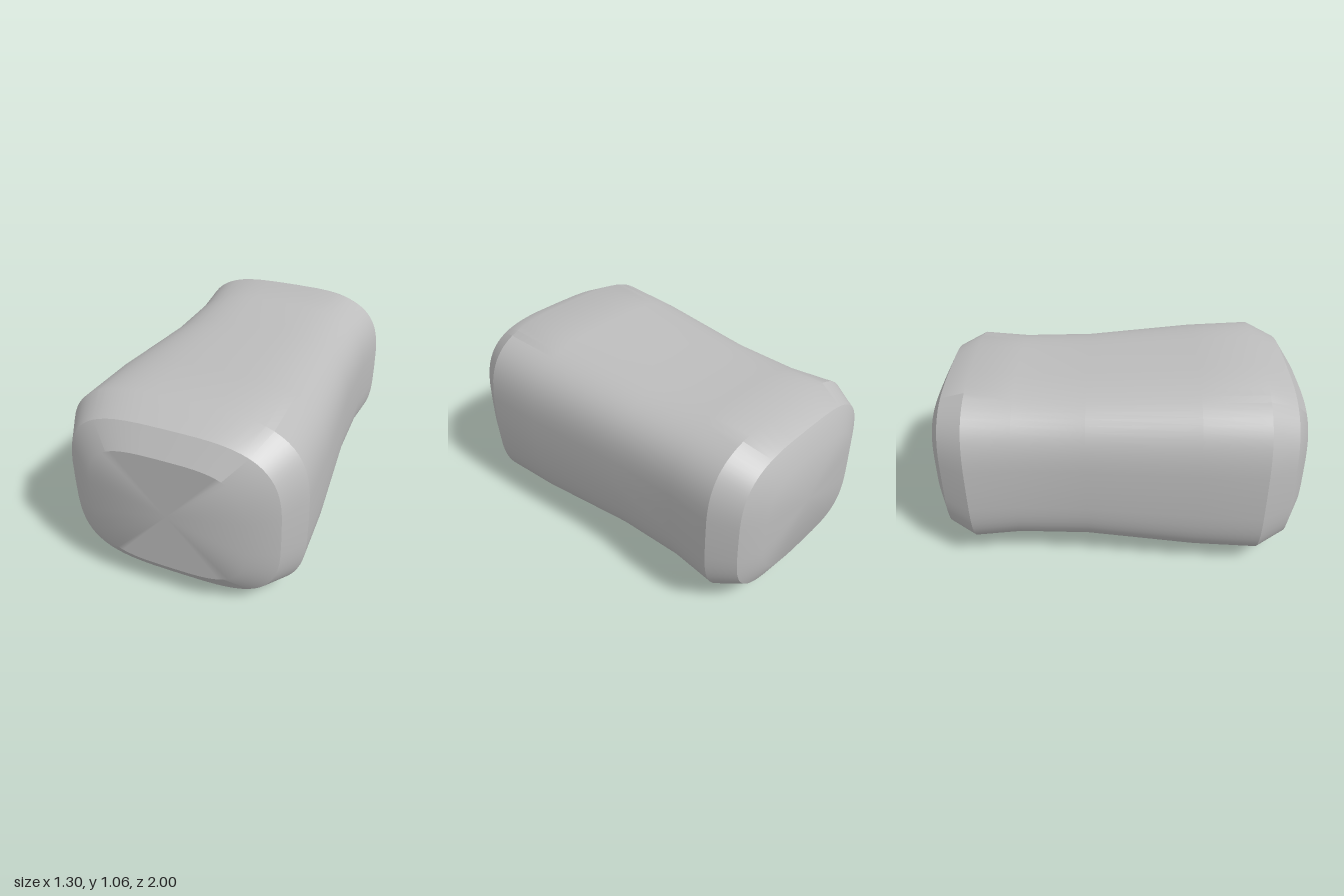
import * as THREE from 'three';
import { toCreasedNormals } from 'three/addons/utils/BufferGeometryUtils.js';

const SIDES = 64;
const POWER = 3.45; // squareness of the rounded-rectangle cross-section
const CENTRE_Y = 0.535;

// Cross-sections from front to back: [z, half width, half height]
const SECTIONS = [
  [1, 0.42, 0.345],
  [0.92, 0.565, 0.4625],
  [0.765, 0.648, 0.532],
  [0.42, 0.632, 0.518],
  [-0.17, 0.577, 0.47],
  [-0.55, 0.568, 0.465],
  [-0.8, 0.59, 0.48],
  [-0.94, 0.513, 0.4175],
  [-1, 0.38, 0.305],
];

const bulge = (v) => Math.sign(v) * Math.abs(v) ** (2 / POWER);

// Lofts superellipse rings and closes both ends with flat fans
function loft(sections) {
  const positions = [];
  const index = [];
  for (const [z, w, h] of sections) {
    for (let j = 0; j < SIDES; j++) {
      const a = (j / SIDES) * Math.PI * 2;
      positions.push(w * bulge(Math.cos(a)), CENTRE_Y + h * bulge(Math.sin(a)), z);
    }
  }
  const last = (sections.length - 1) * SIDES;
  const front = sections.length * SIDES;
  const back = front + 1;
  positions.push(0, CENTRE_Y, sections[0][0]);
  positions.push(0, CENTRE_Y, sections[sections.length - 1][0]);

  for (let j = 0; j < SIDES; j++) {
    const k = (j + 1) % SIDES;
    for (let r = 0; r < last; r += SIDES) {
      const a = r + j, b = r + k, c = a + SIDES, d = b + SIDES;
      index.push(a, c, b, b, c, d);
    }
    index.push(front, j, k);
    index.push(back, last + k, last + j);
  }

  const geometry = new THREE.BufferGeometry();
  geometry.setAttribute('position', new THREE.Float32BufferAttribute(positions, 3));
  geometry.setIndex(index);
  return toCreasedNormals(geometry, Math.PI / 6);
}

export function createModel() {
  const group = new THREE.Group();
  group.name = 'waistedBlock';

  const grey = new THREE.MeshStandardMaterial({ color: 0xbcbcbc });
  grey.name = 'plain grey';

  // Waisted body with chamfered ends
  const body = new THREE.Mesh(loft(SECTIONS), grey);
  body.name = 'body';
  group.add(body);
  return group;
}
